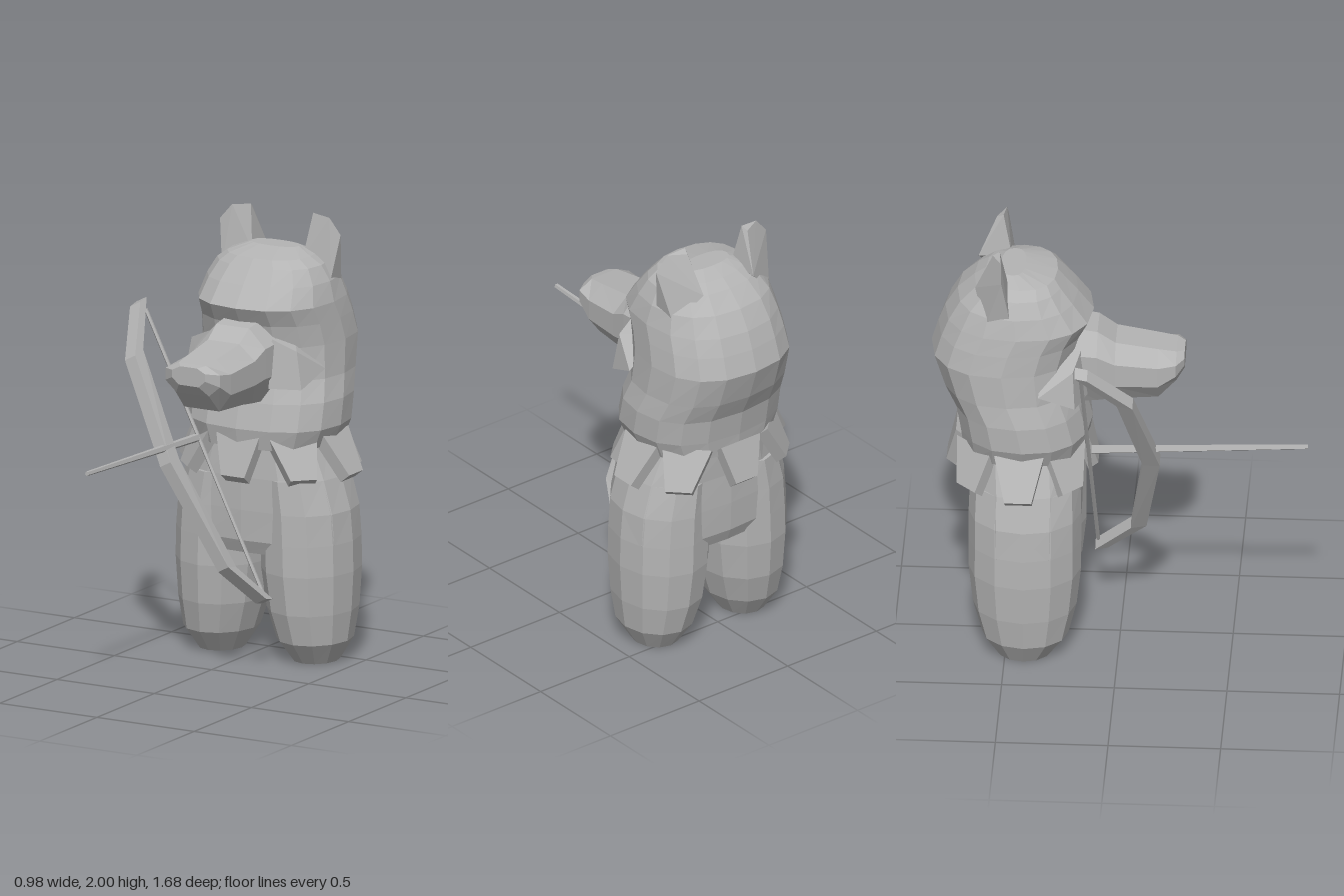
import * as THREE from 'three';
import { ConvexGeometry } from 'three/addons/geometries/ConvexGeometry.js';

const grey = new THREE.MeshStandardMaterial({ color: 0xb4b4b4, flatShading: true });
grey.name = 'plain grey';

const CX = 0.05; // middle of the body

// Skin a list of rings (each counter-clockwise about the travel direction), closing both ends
function loft(rings) {
  const n = rings[0].length, pos = rings.flat(2), idx = [];
  for (let r = 0; r < rings.length - 1; r++) {
    for (let i = 0; i < n; i++) {
      const j = (i + 1) % n, a = r * n + i, b = r * n + j;
      idx.push(a, b, b + n, a, b + n, a + n);
    }
  }
  const last = (rings.length - 1) * n;
  for (let i = 1; i < n - 1; i++) idx.push(0, i + 1, i, last, last + i, last + i + 1);
  const g = new THREE.BufferGeometry();
  g.setAttribute('position', new THREE.Float32BufferAttribute(pos, 3));
  g.setIndex(idx);
  g.computeVertexNormals();
  return g;
}

// Horizontal ring; a power below 1 makes it boxier
function ring(x, y, halfWidth, front, back, sides, power = 1) {
  const pts = [], mid = (front + back) / 2, depth = (front - back) / 2;
  const bulge = v => Math.sign(v) * Math.pow(Math.abs(v), power);
  for (let i = 0; i < sides; i++) {
    const a = (i / sides) * Math.PI * 2;
    pts.push([x + halfWidth * bulge(Math.sin(a)), y, mid + depth * bulge(Math.cos(a))]);
  }
  return pts;
}

function rod(a, b, r0, r1, sides) {
  const A = new THREE.Vector3(...a), B = new THREE.Vector3(...b), d = B.clone().sub(A);
  const g = new THREE.CylinderGeometry(r1, r0, d.length(), sides);
  g.applyQuaternion(new THREE.Quaternion().setFromUnitVectors(new THREE.Vector3(0, 1, 0), d.normalize()));
  return g.translate(...A.add(B).multiplyScalar(0.5).toArray());
}

export function createModel() {
  const model = new THREE.Group();
  const add = (name, geometry) => {
    const m = new THREE.Mesh(geometry, grey);
    m.name = name;
    model.add(m);
    return m;
  };

  // Legs: y, outer and inner distance from the middle, front, back
  const legRows = [
    [0, 0.345, 0.14, -0.30, -0.535], [0.1, 0.405, 0.075, -0.22, -0.605],
    [0.24, 0.425, 0.03, -0.185, -0.645], [0.42, 0.435, 0.005, -0.165, -0.665],
    [0.56, 0.432, 0, -0.165, -0.665], [0.7, 0.42, 0, -0.165, -0.665], [0.85, 0.375, 0, -0.17, -0.66],
  ];
  for (const s of [-1, 1]) {
    add(s < 0 ? 'rightLeg' : 'leftLeg', loft(legRows.map(([y, o, i, f, b]) =>
      ring(CX + s * (o + i) / 2, y, (o - i) / 2, f, b, 12))));
  }

  // Torso joining the legs
  add('torso', loft([
    [0.5, 0.41, -0.2, -0.63], [0.56, 0.43, -0.175, -0.655], [0.7, 0.42, -0.17, -0.66],
    [0.85, 0.375, -0.17, -0.66], [1.02, 0.3, -0.18, -0.67],
  ].map(([y, w, f, b]) => ring(CX, y, w, f, b, 16, 0.75))));

  // Hooded head with neck cape
  add('head', loft([
    [0.99, 0.325, -0.14, -0.71], [1.08, 0.365, -0.125, -0.72], [1.2, 0.365, -0.155, -0.74],
    [1.3, 0.345, -0.19, -0.79], [1.45, 0.335, -0.19, -0.84], [1.55, 0.325, -0.165, -0.81],
    [1.63, 0.315, -0.12, -0.78], [1.72, 0.29, -0.19, -0.725], [1.79, 0.25, -0.25, -0.65],
    [1.825, 0.2, -0.28, -0.6], [1.855, 0.12, -0.42, -0.53],
  ].map(([y, w, f, b]) => ring(CX, y, w, f, b, 16, 0.84))));

  // Muzzle: z, half width, bottom, top
  add('muzzle', loft([
    [-0.26, 0.175, 1.2, 1.58], [-0.1, 0.168, 1.215, 1.555], [-0.02, 0.162, 1.225, 1.5],
    [0.17, 0.15, 1.235, 1.47], [0.25, 0.14, 1.32, 1.458], [0.285, 0.085, 1.365, 1.45],
  ].map(([z, w, b, t]) => {
    const h = t - b;
    return [[1, 0.35], [1, 0.75], [0.5, 1], [-0.5, 1], [-1, 0.75], [-1, 0.35], [-0.6, 0], [0.6, 0]]
      .map(([u, v]) => [CX + u * w, b + v * h, z]);
  })));

  // Ears and cheek tufts, mirrored
  const earPts = [[0.13, 1.8, -0.49], [0.28, 1.72, -0.48], [0.31, 1.92, -0.515], [0.25, 1.99, -0.52],
    [0.16, 2, -0.53], [0.17, 1.985, -0.56], [0.14, 1.8, -0.64], [0.27, 1.67, -0.59]];
  const cheekPts = [[0.16, 1.5, -0.17], [0.27, 1.45, -0.2], [0.3, 1.28, -0.19], [0.16, 1.28, -0.14],
    [0.17, 1.48, -0.35], [0.33, 1.35, -0.35]];
  for (const s of [-1, 1]) {
    const hull = pts => new ConvexGeometry(pts.map(([x, y, z]) => new THREE.Vector3(CX + s * x, y, z)));
    const side = s < 0 ? 'right' : 'left';
    add(side + 'Ear', hull(earPts));
    add(side + 'Cheek', hull(cheekPts));
  }

  // Eight flaring flaps round the collar
  for (let i = 0; i < 8; i++) {
    const a = (i / 8) * Math.PI * 2, sn = Math.sin(a), cs = Math.cos(a), pts = [];
    for (const [y, rx, rz, half] of [[1.03, 0.31, 0.27, 0.11], [0.85, 0.415, 0.315, 0.06]]) {
      for (const u of [-half, half]) {
        for (const t of [-0.022, 0.022]) {
          pts.push(new THREE.Vector3(CX + (rx + t) * sn + u * cs, y + t * 0.8, -0.435 + (rz + t) * cs - u * sn));
        }
      }
    }
    add('collarFlap' + (i + 1), new ConvexGeometry(pts));
  }

  // Bow limb: rectangular sections along a bent path, top to bottom
  const bowPath = [[-0.465, 1.59, -0.15, 0.028], [-0.375, 1.4, 0.04, 0.035], [-0.13, 0.96, 0.145, 0.038],
    [0.125, 0.49, 0.075, 0.035], [0.215, 0.32, -0.095, 0.028]];
  add('bow', loft(bowPath.map(([x, y, z, h]) =>
    [[-1, -1], [1, -1], [1, 1], [-1, 1]].map(([u, v]) =>
      [x + u * 0.03 * 0.88, y + u * 0.03 * 0.47 - v * h * 0.2 * Math.sign(y - 0.96), z + v * h]))));
  add('bowString', rod([-0.43, 1.56, -0.155], [0.2, 0.35, -0.11], 0.009, 0.009, 5));
  add('arrow', rod([-0.148, 1.015, -0.12], [-0.145, 1.06, 0.84], 0.02, 0.011, 5));

  return model;
}
